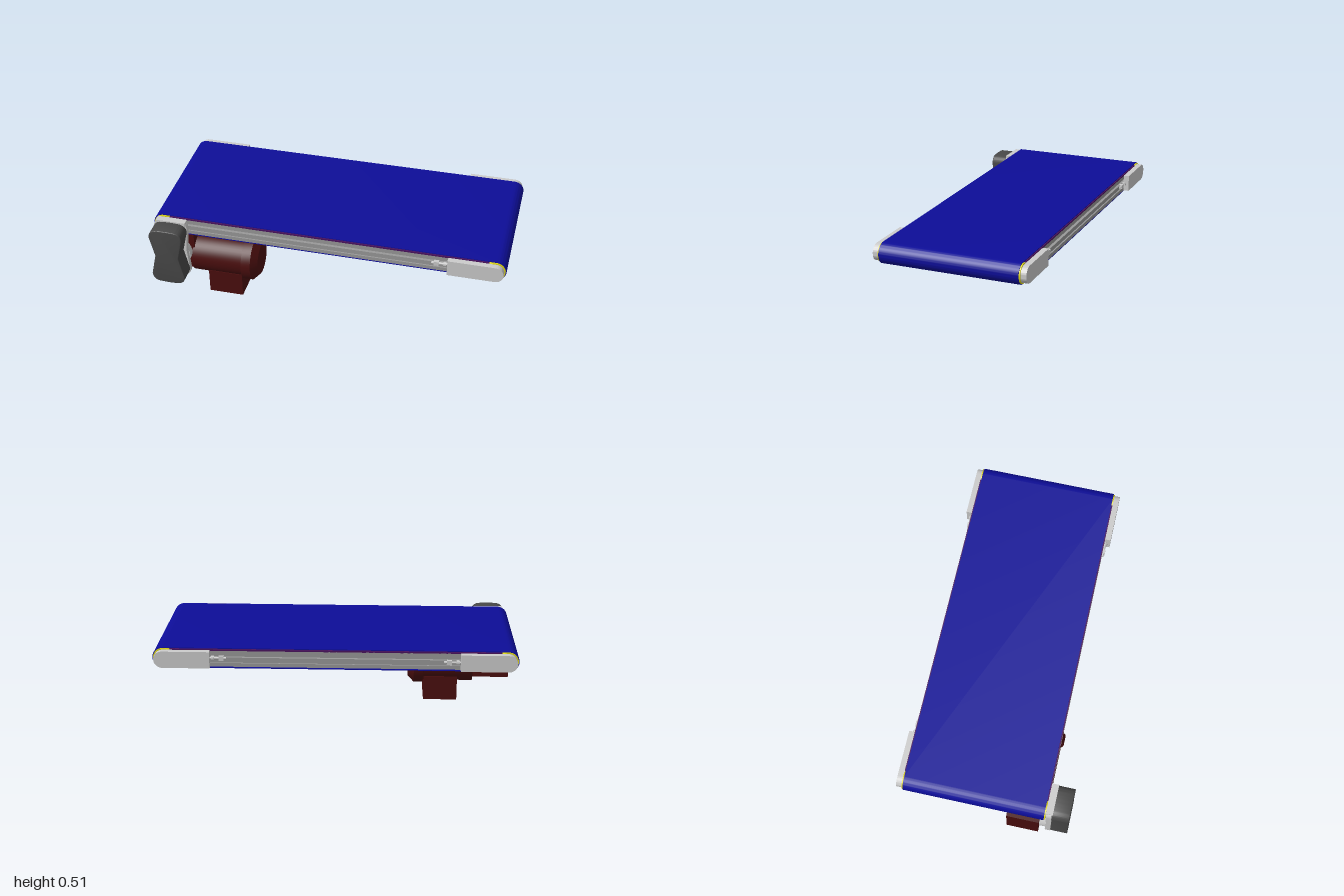
import * as THREE from 'three';
import { toCreasedNormals } from 'three/addons/utils/BufferGeometryUtils.js';

const mat = (color) => new THREE.MeshStandardMaterial({ color, side: THREE.DoubleSide });

export function createModel() {
  const model = new THREE.Group();
  const grey = mat(0xcccccc), steel = mat(0x999999), blue = mat(0x0d0d98), yellow = mat(0xe0d818);
  const red = mat(0x4a0e0e), dark = mat(0x484848), purple = mat(0x4a1260);
  const Y = 0.457, ZC = -0.05; // belt axis height and belt centre

  const add = (name, geo, material, x = 0, y = 0, z = 0, parent = model) => {
    const m = new THREE.Mesh(geo, material);
    m.name = name;
    m.position.set(x, y, z);
    parent.add(m);
    return m;
  };
  const box = (name, material, x0, x1, y0, y1, z0, z1) =>
    add(name, new THREE.BoxGeometry(x1 - x0, y1 - y0, z1 - z0), material, (x0 + x1) / 2, (y0 + y1) / 2, (z0 + z1) / 2);
  const extrude = (shape, depth, bevel = 0) => {
    const g = new THREE.ExtrudeGeometry(shape, {
      depth: depth - 2 * bevel, curveSegments: 16, bevelEnabled: bevel > 0,
      bevelSize: bevel, bevelThickness: bevel, bevelOffset: -bevel, bevelSegments: 3,
    });
    g.translate(0, 0, bevel);
    return toCreasedNormals(g, 0.6);
  };
  const cylZ = (r, len) => new THREE.CylinderGeometry(r, r, len, 40).rotateX(Math.PI / 2);
  const cylX = (r, len, sides = 24) => new THREE.CylinderGeometry(r, r, len, sides).rotateZ(Math.PI / 2);

  // Endless belt around two rollers
  const stadium = (path, half, r) => {
    path.moveTo(-half, -r);
    path.lineTo(half, -r);
    path.absarc(half, 0, r, -Math.PI / 2, Math.PI / 2, false);
    path.lineTo(-half, r);
    path.absarc(-half, 0, r, Math.PI / 2, Math.PI * 1.5, false);
    return path;
  };
  const beltShape = stadium(new THREE.Shape(), 0.938, 0.058);
  beltShape.holes.push(stadium(new THREE.Path(), 0.938, 0.054));
  add('belt', extrude(beltShape, 0.78), blue, 0, Y, -0.44);
  for (const s of [-1, 1]) add('roller', cylZ(0.0538, 0.793), yellow, s * 0.938, Y, ZC);

  // Slider bed under the top run of the belt
  box('sliderBed', purple, -0.9, 0.9, 0.501, 0.51, -0.446, 0.346);

  // Slotted side rails, mirrored about the belt centre
  const railProfile = new THREE.Shape([
    [0, -0.047], [0.03, -0.047], [0.03, -0.026], [0.022, -0.026], [0.022, -0.016], [0.03, -0.016],
    [0.03, 0.006], [0.014, 0.006], [0.014, 0.024], [0.03, 0.024], [0.03, 0.045], [0, 0.045],
  ].map(([a, b]) => new THREE.Vector2(-a, b)));
  const railGeo = extrude(railProfile, 1.8).rotateY(Math.PI / 2);
  for (const s of [1, -1]) {
    const rail = add('sideRail', railGeo, steel, -0.9 * s, Y, ZC + s * 0.366);
    rail.rotation.y = s > 0 ? 0 : Math.PI;
  }

  // Bearing end blocks with a rounded outer end
  const blockShape = new THREE.Shape();
  blockShape.moveTo(0.68, -0.047);
  blockShape.lineTo(0.938, -0.047);
  blockShape.absarc(0.938, 0, 0.047, -Math.PI / 2, Math.PI / 2, false);
  blockShape.lineTo(0.68, 0.047);
  const blockGeo = extrude(blockShape, 0.033);
  blockGeo.translate(0, 0, 0.395);
  for (const [sx, sz] of [[1, 1], [1, -1], [-1, -1]]) {
    const end = new THREE.Group();
    end.name = 'bearingEnd';
    end.position.set(0, Y, ZC);
    // Rotating rather than mirroring keeps the faces outward
    end.rotation.set(sx !== sz ? (sx > 0 ? Math.PI : 0) : 0, sx < 0 ? Math.PI : 0, 0);
    add('bearingBlock', blockGeo, grey, 0, 0, 0, end);
    add('tensionBolt', cylX(0.007, 0.1), grey, 0.64, 0.004 * sz, 0.4, end);
    add('tensionNut', cylX(0.014, 0.016, 6), grey, 0.665, 0.004 * sz, 0.4, end);
    add('tensionBracket', new THREE.BoxGeometry(0.028, 0.024, 0.02), grey, 0.618, 0.004 * sz, 0.4, end);
    model.add(end);
  }

  // Drive side: mounting plate and waisted cover sharing one outline
  const waisted = (w, y0, y1, waist, c) => {
    const s = new THREE.Shape(), mid = (y0 + y1) / 2;
    s.moveTo(-w + c, y0);
    s.quadraticCurveTo(0, y0 - 0.006, w - c, y0);
    s.quadraticCurveTo(w, y0 + 0.006, w, y0 + c * 1.3);
    s.lineTo(w - waist, mid);
    s.lineTo(w, y1 - c * 1.3);
    s.quadraticCurveTo(w, y1 - 0.006, w - c, y1);
    s.quadraticCurveTo(0, y1 + 0.006, -w + c, y1);
    s.quadraticCurveTo(-w, y1 - 0.006, -w, y1 - c * 1.3);
    s.lineTo(-w + waist, mid);
    s.lineTo(-w, y0 + c * 1.3);
    s.quadraticCurveTo(-w, y0 + 0.006, -w + c, y0);
    return s;
  };
  add('drivePlate', extrude(waisted(0.096, 0.136, 0.5, 0.012, 0.03), 0.03), grey, -0.888, 0, 0.35);
  box('driveBearingBlock', grey, -0.97, -0.8, 0.41, 0.504, 0.345, 0.385);
  add('driveCover', extrude(waisted(0.096, 0.143, 0.494, 0.028, 0.04), 0.097, 0.004), dark, -0.888, 0, 0.38);

  // Gearbox with output hub, bore and corner screws
  const gearShape = new THREE.Shape([[-0.11, -0.115], [0.11, -0.115], [0.11, 0.115], [-0.11, 0.115]]
    .map((p) => new THREE.Vector2(...p)));
  gearShape.holes.push(new THREE.Path().absarc(0, 0, 0.036, 0, Math.PI * 2, true));
  add('gearbox', extrude(gearShape, 0.18), red, -0.89, 0.26, 0.135);
  add('gearboxBore', cylZ(0.036, 0.15), red, -0.89, 0.26, 0.23);
  add('outputHub', cylZ(0.095, 0.04), grey, -0.89, 0.26, 0.333);
  for (let i = 0; i < 4; i++) {
    const a = Math.PI / 4 + (i * Math.PI) / 2;
    add('gearboxScrew', cylZ(0.009, 0.006), red, -0.89 + 0.09 * Math.cos(a), 0.26 + 0.09 * Math.sin(a), 0.134);
  }

  // Motor body and chamfered fan cowl turned about the x axis
  const motorProfile = [[0, -0.79], [0.117, -0.79], [0.117, -0.5], [0.13, -0.497], [0.13, -0.443], [0.093, -0.408], [0, -0.408]];
  const motorGeo = new THREE.LatheGeometry(motorProfile.map((p) => new THREE.Vector2(...p)), 48);
  motorGeo.rotateZ(-Math.PI / 2);
  add('motor', toCreasedNormals(motorGeo, 0.5), red, 0, 0.213, 0.226);
  box('terminalBox', red, -0.7, -0.502, 0, 0.146, 0.126, 0.326);

  return model;
}
